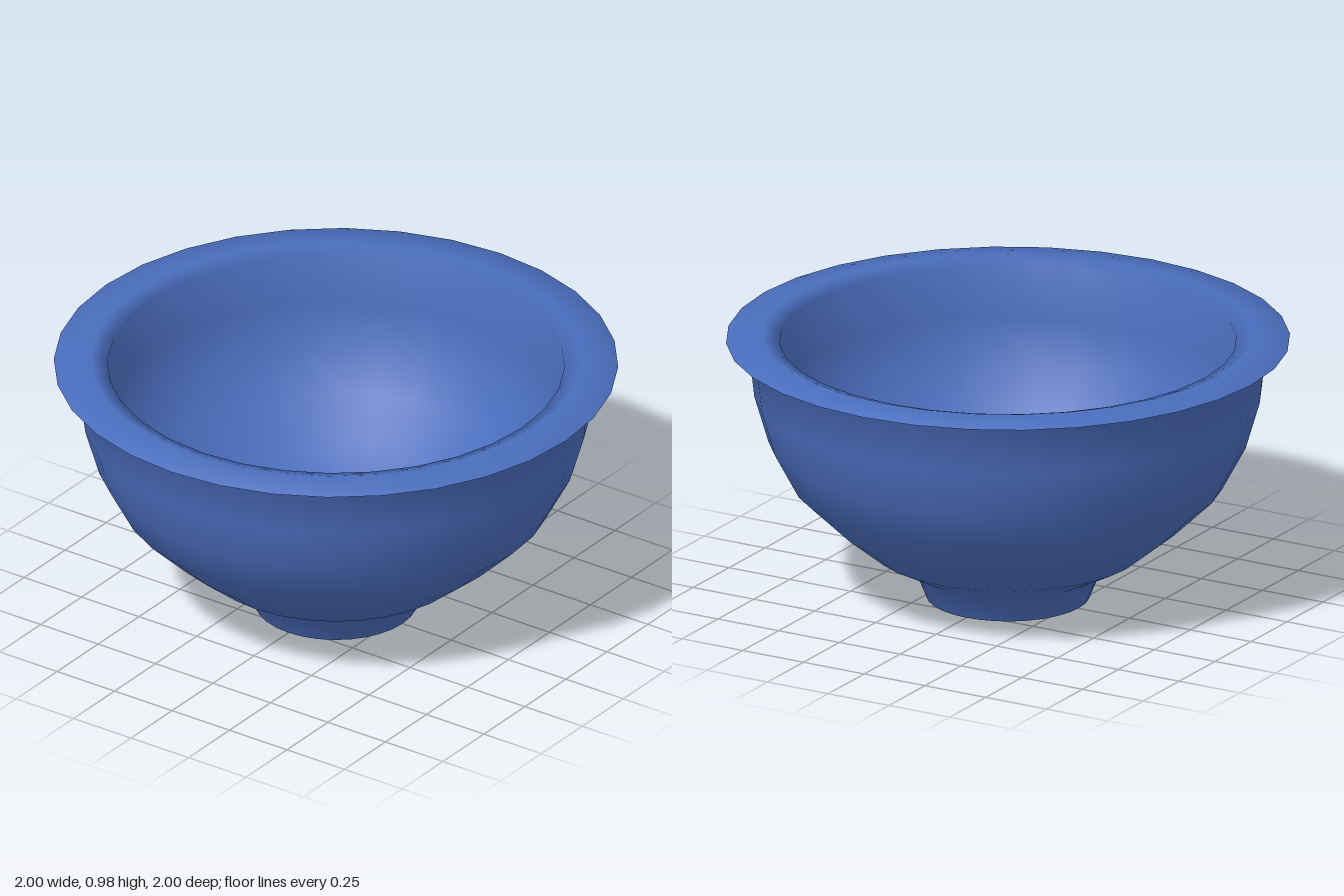
import * as THREE from 'three';

const toPoints = (pairs) => pairs.map(([r, y]) => new THREE.Vector2(r, y));

export function createModel() {
  const group = new THREE.Group();
  group.name = 'bowl';
  const material = new THREE.MeshStandardMaterial({ color: 0x4a6dbd });

  // hollow under the foot, from the centre out to the thin standing edge
  const recess = [[0, 0.09], [0.2, 0.09], [0.26, 0.065], [0.275, 0.01]];
  // flared foot and rounded outer wall
  const outer = [
    [0.29, 0], [0.33, 0.1], [0.485, 0.18], [0.62, 0.29], [0.765, 0.43],
    [0.85, 0.59], [0.9, 0.76], [0.92, 0.945],
  ];
  // thin overhanging lip
  const lip = [[1, 0.96], [0.87, 0.975], [0.81, 0.955]];
  // inner wall down to the centre of the floor
  const inner = [
    [0.805, 0.76], [0.76, 0.61], [0.68, 0.47], [0.55, 0.34],
    [0.42, 0.24], [0.27, 0.175], [0, 0.15],
  ];

  const profile = toPoints([...recess, ...outer, ...lip, ...inner]);
  const bowl = new THREE.Mesh(new THREE.LatheGeometry(profile, 32), material);
  bowl.name = 'bowlBody';
  group.add(bowl);
  return group;
}
